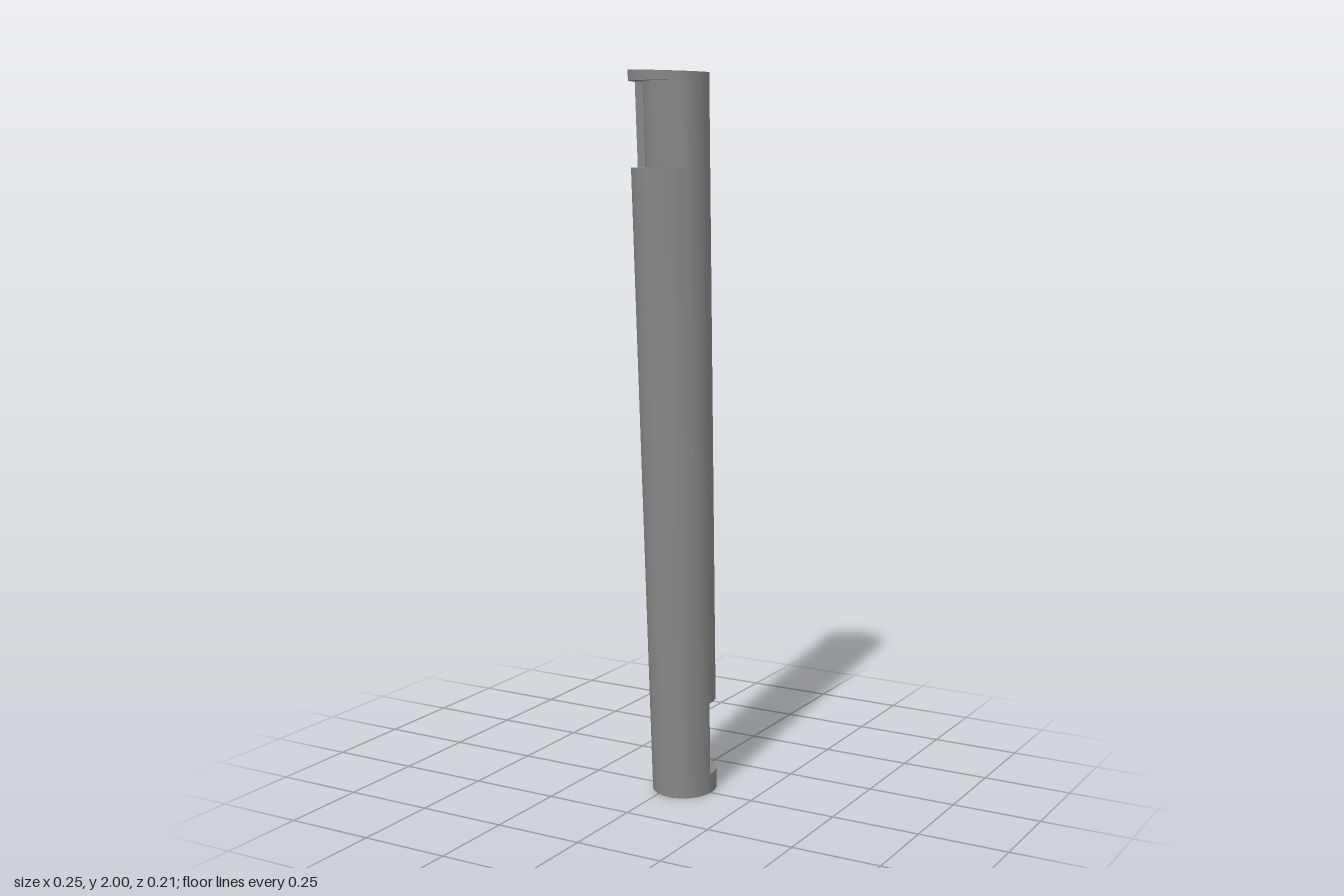
import * as THREE from 'three';
import { toCreasedNormals } from 'three/addons/utils/BufferGeometryUtils.js';

const RAD = Math.PI / 180;
const SIDES = 20, STEP = 360 / SIDES;

// Crescent notches: angular span in degrees from +x towards +z.
// Each runs out at "from" and stops at a flat wall at "to".
const topNotch = { from: 36, to: 183 };
const bottomNotch = { from: 216, to: 363 };
const SHIFT = 0.462, NECK = 1.075; // offset and radius of the cutting circle

// Angles shared by all rings: polygon corners, notch ends and a close pair at each wall
function ringAngles() {
  const angles = [];
  for (let i = 0; i < SIDES; i++) angles.push((i + 0.5) * STEP);
  for (const n of [topNotch, bottomNotch])
    angles.push(n.from, (n.to - 0.01) % 360, (n.to + 0.01) % 360);
  return angles.sort((a, b) => a - b);
}

const inside = (a, n) => (a >= n.from && a < n.to) || a + 360 < n.to;

// Distance from the axis to the off-centre neck surface
function neckRadius(a, notch) {
  const d = (a - notch.from + 86) * RAD;
  return SHIFT * Math.cos(d) + Math.sqrt(NECK ** 2 - (SHIFT * Math.sin(d)) ** 2);
}

// Oval cross-section that leans and widens with height; slope tilts the end faces
function ring(y, notch, slope, angles) {
  const t = y / 2;
  const cx = THREE.MathUtils.lerp(0.037, -0.015, t);
  const cz = THREE.MathUtils.lerp(-0.003, -0.001, t);
  const rx = THREE.MathUtils.lerp(0.087, 0.111, t);
  const rz = THREE.MathUtils.lerp(0.101, 0.105, t);
  return angles.map((a) => {
    const off = a - STEP * Math.round(a / STEP);
    let r = Math.cos((STEP / 2) * RAD) / Math.cos(off * RAD);
    if (notch && inside(a, notch)) r = Math.min(r, neckRadius(a, notch));
    const dx = rx * r * Math.cos(a * RAD);
    return new THREE.Vector3(cx + dx, y - slope * dx, cz + rz * r * Math.sin(a * RAD));
  });
}

function postGeometry() {
  const angles = ringAngles();
  // Repeated heights form the flat ledges of the notches
  const rings = [
    [0.003, null, 0.035], [0.055, null, 0], [0.055, bottomNotch, 0], [0.26, bottomNotch, 0],
    [0.26, null, 0], [1.74, null, 0], [1.74, topNotch, 0], [1.97, topNotch, 0],
    [1.97, null, 0], [1.996, null, 0.035],
  ].map(([y, notch, slope]) => ring(y, notch, slope, angles));

  const pos = [];
  const tri = (a, b, c) => {
    if (new THREE.Triangle(a, b, c).getArea() > 1e-10)
      for (const p of [a, b, c]) pos.push(p.x, p.y, p.z);
  };
  const n = angles.length;
  const last = rings[rings.length - 1];
  const centre = (loop) => loop.reduce((s, p) => s.add(p), new THREE.Vector3()).divideScalar(n);
  const low = centre(rings[0]), high = centre(last);
  for (let i = 0; i < n; i++) {
    const j = (i + 1) % n;
    for (let k = 0; k < rings.length - 1; k++) {
      const a = rings[k], b = rings[k + 1];
      tri(a[i], b[i], b[j]);
      tri(a[i], b[j], a[j]);
    }
    // End caps
    tri(low, rings[0][i], rings[0][j]);
    tri(high, last[j], last[i]);
  }
  const geo = new THREE.BufferGeometry();
  geo.setAttribute('position', new THREE.Float32BufferAttribute(pos, 3));
  return toCreasedNormals(geo, 0.6);
}

export function createModel() {
  const group = new THREE.Group();
  group.name = 'notchedPost';
  const post = new THREE.Mesh(postGeometry(), new THREE.MeshStandardMaterial({ color: 0x868686 }));
  post.name = 'post';
  group.add(post);
  return group;
}
